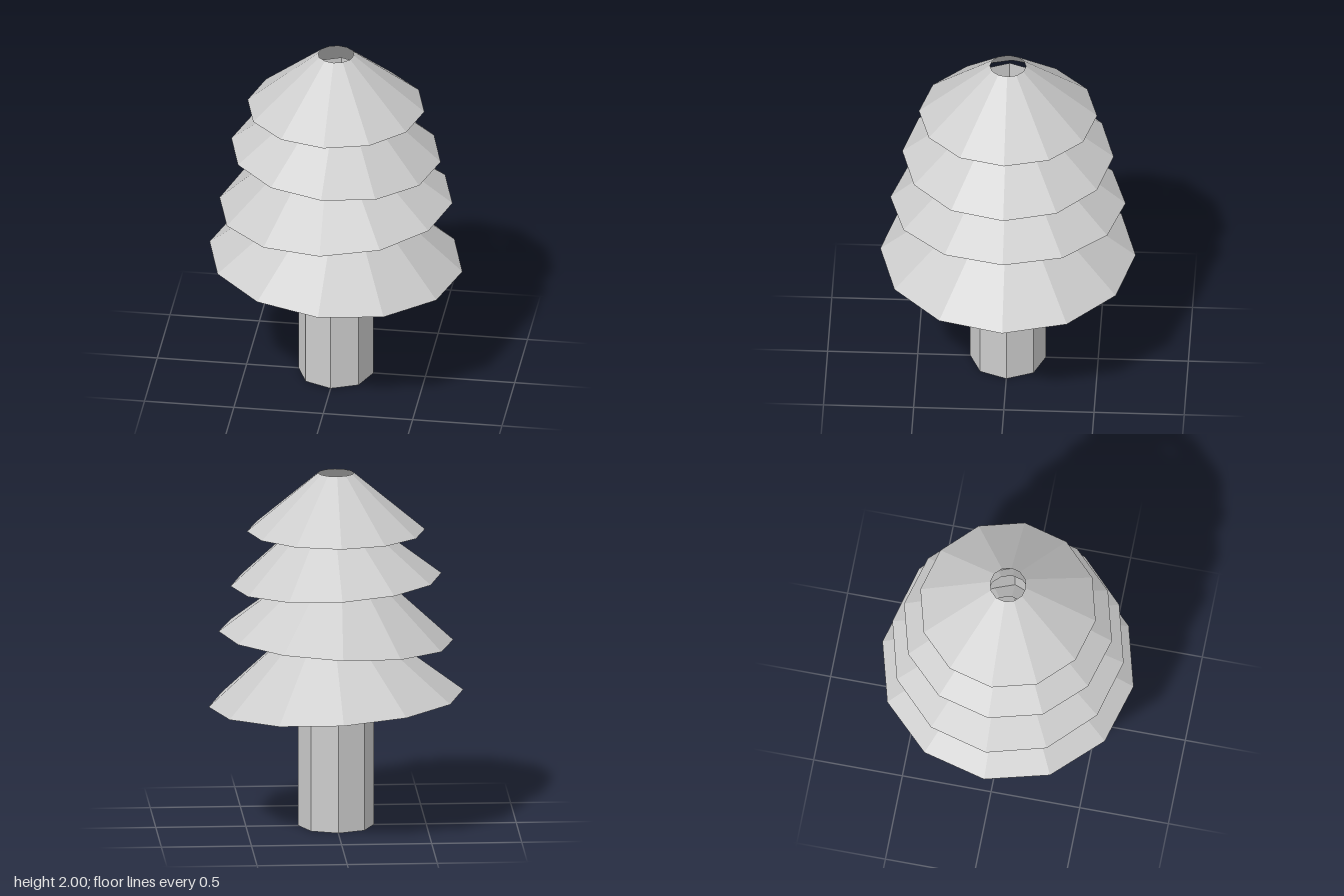
import * as THREE from 'three';

export function createModel() {
  const model = new THREE.Group();
  model.name = 'tree';

  const paleGrey = new THREE.MeshStandardMaterial({
    color: 0xcccccc, flatShading: true, side: THREE.DoubleSide,
  });
  paleGrey.name = 'paleGrey';

  // Hollow eight-sided trunk, open at both ends
  const trunkHeight = 1.865;
  const trunk = new THREE.Mesh(
    new THREE.CylinderGeometry(0.21, 0.21, trunkHeight, 8, 1, true), paleGrey);
  trunk.name = 'trunk';
  trunk.position.y = trunkHeight / 2;
  model.add(trunk);

  // Open foliage skirts: one shape, scaled and tilted about its base centre
  const skirt = new THREE.CylinderGeometry(0.1, 0.494, 0.326, 12, 1, true);
  skirt.translate(0, 0.163, 0);
  const tiers = [
    { name: 'bottomFoliage', y: 0.72, radius: 0.708, tilt: -0.057 },
    { name: 'lowerFoliage', y: 1.076, radius: 0.652, tilt: 0.05 },
    { name: 'upperFoliage', y: 1.394, radius: 0.586, tilt: -0.051 },
    { name: 'topFoliage', y: 1.674, radius: 0.494, tilt: 0 },
  ];
  for (const { name, y, radius, tilt } of tiers) {
    const tier = new THREE.Mesh(skirt, paleGrey);
    tier.name = name;
    tier.position.y = y;
    tier.rotation.z = tilt;
    tier.scale.setScalar(radius / 0.494);
    model.add(tier);
  }

  return model;
}
